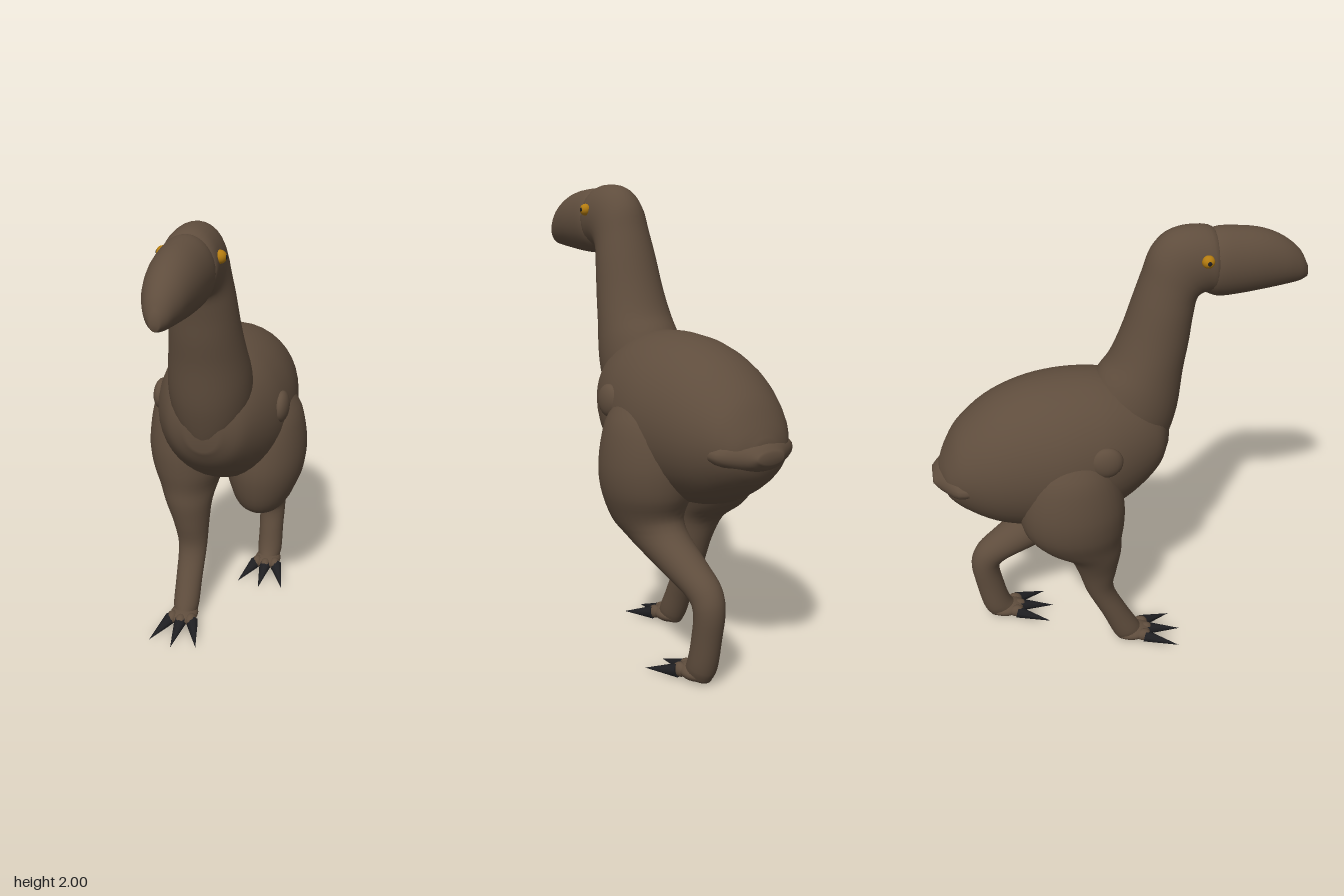
import * as THREE from 'three';

const mat = (name, color) => Object.assign(new THREE.MeshStandardMaterial({ color }), { name });
const brown = mat('brown plumage', 0x5f4d3d);
const dark = mat('black claw', 0x1f1f22);
const amber = mat('amber eye', 0xb47c10);

// Smooth skin over elliptical rings. Each ring is [zA, yA, zB, yB, halfWidth, x],
// where A and B are its two opposite points on the side outline.
function loft(rings, sides = 28, sub = 4) {
  const curve = f => new THREE.CatmullRomCurve3(rings.map(f));
  const a = curve(r => new THREE.Vector3(0, r[1], r[0]));
  const b = curve(r => new THREE.Vector3(0, r[3], r[2]));
  const w = curve((r, i) => new THREE.Vector3(r[4], r[5] ?? 0, i * 0.1));
  const steps = (rings.length - 1) * sub, pos = [], idx = [];
  for (let i = 0; i <= steps; i++) {
    const t = i / steps, A = a.getPoint(t), B = b.getPoint(t), W = w.getPoint(t);
    for (let j = 0; j < sides; j++) {
      const q = j / sides * Math.PI * 2, s = (1 + Math.sin(q)) / 2;
      pos.push(W.y + W.x * Math.cos(q), A.y + (B.y - A.y) * s, A.z + (B.z - A.z) * s);
    }
  }
  for (let i = 0; i < steps; i++) for (let j = 0; j < sides; j++) {
    const k = (j + 1) % sides, p = i * sides, n = p + sides;
    idx.push(p + j, p + k, n + k, p + j, n + k, n + j);
  }
  // Closed ends
  for (const [t, row] of [[0, 0], [1, steps]]) {
    const A = a.getPoint(t), B = b.getPoint(t), c = pos.length / 3;
    pos.push(w.getPoint(t).y, (A.y + B.y) / 2, (A.z + B.z) / 2);
    for (let j = 0; j < sides; j++) {
      const p = row * sides + j, k = row * sides + (j + 1) % sides;
      t ? idx.push(c, p, k) : idx.push(c, k, p);
    }
  }
  const g = new THREE.BufferGeometry();
  g.setAttribute('position', new THREE.Float32BufferAttribute(pos, 3));
  g.setIndex(idx);
  g.computeVertexNormals();
  return g;
}

function add(parent, name, geometry, material) {
  const m = new THREE.Mesh(geometry, material);
  m.name = name;
  parent.add(m);
  return m;
}

function ball(parent, name, material, [x, y, z], [sx, sy, sz]) {
  const m = add(parent, name, new THREE.SphereGeometry(1, 20, 14), material);
  m.position.set(x, y, z);
  m.scale.set(sx, sy, sz);
  return m;
}

// Cone from a base point to a tip
function claw(parent, base, tip, radius) {
  const d = tip.clone().sub(base);
  const m = add(parent, 'claw', new THREE.ConeGeometry(radius, d.length(), 8), dark);
  m.position.copy(base).addScaledVector(d, 0.5);
  m.quaternion.setFromUnitVectors(new THREE.Vector3(0, 1, 0), d.normalize());
}

// Thigh shared by both legs; the lower leg differs with the stride
const thigh = [
  [-0.32, 1.15, -0.12, 1.15, 0.05, 0.22],
  [-0.41, 1.03, -0.04, 1.03, 0.145, 0.195],
  [-0.45, 0.88, 0.0, 0.86, 0.18, 0.185],
  [-0.44, 0.75, 0.0, 0.74, 0.175, 0.178],
];
const backShin = [
  [-0.405, 0.655, -0.045, 0.6, 0.135, 0.172],
  [-0.43, 0.6, -0.11, 0.545, 0.112, 0.165],
  [-0.54, 0.51, -0.34, 0.43, 0.088, 0.15],
  [-0.635, 0.43, -0.52, 0.345, 0.07, 0.14],
  [-0.67, 0.345, -0.54, 0.31, 0.065, 0.14],
  [-0.655, 0.2, -0.525, 0.2, 0.06, 0.14],
  [-0.625, 0.06, -0.5, 0.1, 0.06, 0.14],
  [-0.6, 0.015, -0.47, 0.05, 0.05, 0.14],
];
const frontShin = [
  [-0.37, 0.65, -0.01, 0.65, 0.14, 0.175],
  [-0.25, 0.56, -0.01, 0.57, 0.11, 0.165],
  [-0.205, 0.46, -0.025, 0.46, 0.085, 0.15],
  [-0.165, 0.33, -0.04, 0.34, 0.068, 0.14],
  [-0.09, 0.17, 0.02, 0.2, 0.062, 0.14],
  [-0.04, 0.05, 0.075, 0.1, 0.06, 0.14],
  [-0.02, 0.015, 0.1, 0.05, 0.05, 0.14],
];

function leg(parent, name, side, shin, footZ) {
  const g = new THREE.Group();
  g.name = name;
  parent.add(g);
  const rings = [...thigh, ...shin].map(r => [...r.slice(0, 5), r[5] * side]);
  add(g, 'legSkin', loft(rings), brown);
  const x = 0.14 * side;
  ball(g, 'foot', brown, [x, 0.04, footZ + 0.055], [0.065, 0.036, 0.085]);
  for (const s of [-1, 0, 1]) {
    const reach = s ? 0 : 0.03;
    ball(g, 'toe', brown, [x + s * 0.045, 0.04, footZ + 0.1 + reach / 2], [0.026, 0.03, 0.035]);
    claw(g, new THREE.Vector3(x + s * 0.052, 0.036, footZ + 0.105 + reach / 2),
      new THREE.Vector3(x + s * 0.112, 0.006, footZ + 0.255 + reach), 0.03);
  }
}

export function createModel() {
  const model = new THREE.Group();
  model.name = 'flightlessBird';

  add(model, 'body', loft([
    [-0.77, 0.95, -0.77, 1.02, 0.05],
    [-0.74, 0.87, -0.74, 1.09, 0.13],
    [-0.68, 0.81, -0.68, 1.19, 0.19],
    [-0.55, 0.735, -0.55, 1.3, 0.255],
    [-0.4, 0.7, -0.4, 1.365, 0.29],
    [-0.25, 0.7, -0.25, 1.39, 0.305],
    [-0.1, 0.725, -0.1, 1.39, 0.29],
    [0, 0.77, 0, 1.37, 0.262],
    [0.1, 0.84, 0.1, 1.33, 0.215],
    [0.175, 0.92, 0.175, 1.26, 0.16],
    [0.22, 1.0, 0.22, 1.16, 0.07],
  ], 36), brown);

  add(model, 'tail', loft([
    [-0.8, 0.94, -0.8, 0.985, 0.06],
    [-0.77, 0.91, -0.77, 1.015, 0.1],
    [-0.7, 0.9, -0.7, 1.04, 0.195],
    [-0.6, 0.9, -0.6, 1.04, 0.2],
  ]), brown);

  add(model, 'neckAndHead', loft([
    [0.2, 1.0, -0.1, 1.2, 0.12],
    [0.235, 1.1, -0.12, 1.3, 0.172],
    [0.265, 1.22, -0.08, 1.385, 0.176],
    [0.285, 1.4, -0.03, 1.45, 0.162],
    [0.305, 1.52, 0.02, 1.56, 0.148],
    [0.32, 1.64, 0.068, 1.7, 0.135],
    [0.337, 1.71, 0.105, 1.81, 0.123],
    [0.365, 1.725, 0.14, 1.91, 0.118],
    [0.38, 1.72, 0.2, 1.975, 0.116],
    [0.39, 1.72, 0.29, 2.0, 0.114],
    [0.4, 1.72, 0.39, 1.985, 0.108],
    [0.41, 1.78, 0.41, 1.93, 0.06],
  ], 32), brown);

  add(model, 'beak', loft([
    [0.36, 1.72, 0.36, 1.95, 0.09],
    [0.41, 1.7, 0.4, 1.982, 0.111],
    [0.5, 1.702, 0.5, 1.982, 0.11],
    [0.6, 1.712, 0.6, 1.965, 0.1],
    [0.7, 1.724, 0.69, 1.925, 0.08],
    [0.765, 1.733, 0.76, 1.865, 0.05],
    [0.798, 1.745, 0.796, 1.8, 0.018],
  ], 32), brown);

  leg(model, 'leftLeg', 1, backShin, -0.575);
  leg(model, 'rightLeg', -1, frontShin, 0);

  for (const s of [-1, 1]) {
    ball(model, 'wingStub', brown, [s * 0.272, 1.11, -0.09], [0.035, 0.07, 0.07]);
    ball(model, 'eye', amber, [s * 0.112, 1.89, 0.345], [0.025, 0.026, 0.026]);
    ball(model, 'pupil', dark, [s * 0.135, 1.89, 0.345], [0.004, 0.009, 0.009]);
  }
  return model;
}
